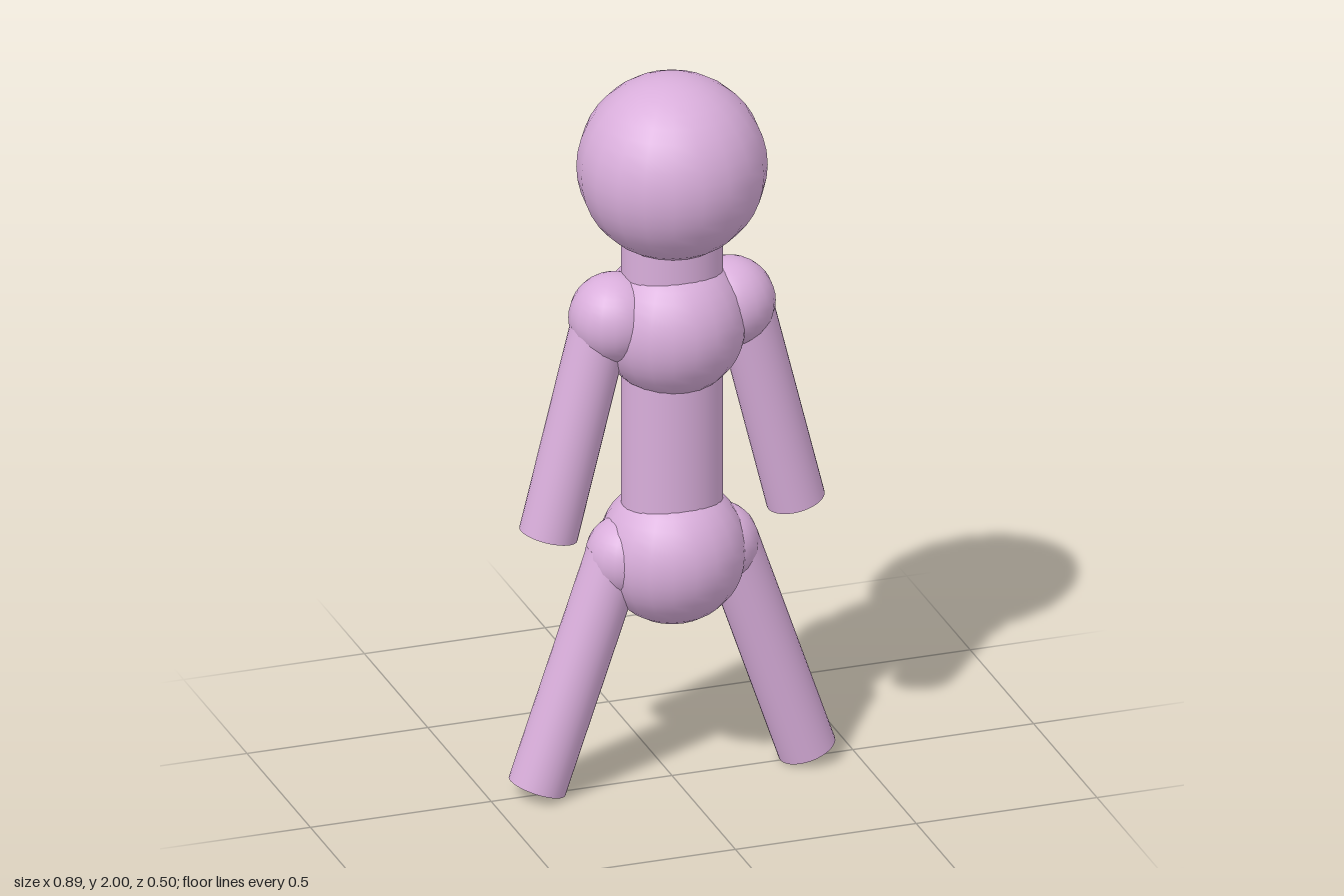
import * as THREE from 'three';

const material = new THREE.MeshStandardMaterial({ color: 0xd9aedb });

function ball(name, radius, x, y) {
  const mesh = new THREE.Mesh(new THREE.SphereGeometry(radius, 20, 20), material);
  mesh.name = name;
  mesh.position.set(x, y, 0);
  return mesh;
}

// Capped cylinder running between two points in the z = 0 plane
function rod(name, radius, [x0, y0], [x1, y1]) {
  const start = new THREE.Vector3(x0, y0, 0);
  const end = new THREE.Vector3(x1, y1, 0);
  const axis = end.clone().sub(start);
  const mesh = new THREE.Mesh(new THREE.CylinderGeometry(radius, radius, axis.length(), 32), material);
  mesh.name = name;
  mesh.position.copy(start).add(end).multiplyScalar(0.5);
  mesh.quaternion.setFromUnitVectors(new THREE.Vector3(0, 1, 0), axis.normalize());
  return mesh;
}

export function createModel() {
  const model = new THREE.Group();
  model.name = 'jointedFigure';

  // Head, chest and pelvis threaded on one slightly flattened trunk
  const trunk = rod('trunk', 0.135, [0, 0.65], [0, 1.6]);
  trunk.scale.z = 0.88;
  model.add(
    trunk,
    ball('head', 0.25, 0, 1.75),
    ball('chest', 0.197, 0, 1.305),
    ball('pelvis', 0.197, 0, 0.653)
  );

  // Limbs, mirrored across x
  for (const [side, s] of [['left', 1], ['right', -1]]) {
    model.add(
      ball(side + 'Shoulder', 0.12, s * 0.16, 1.34),
      rod(side + 'Arm', 0.078, [s * 0.342, 0.746], [s * 0.194, 1.34]),
      ball(side + 'Hip', 0.11, s * 0.125, 0.655),
      rod(side + 'Leg', 0.078, [s * 0.373, 0.03], [s * 0.157, 0.66])
    );
  }
  return model;
}
